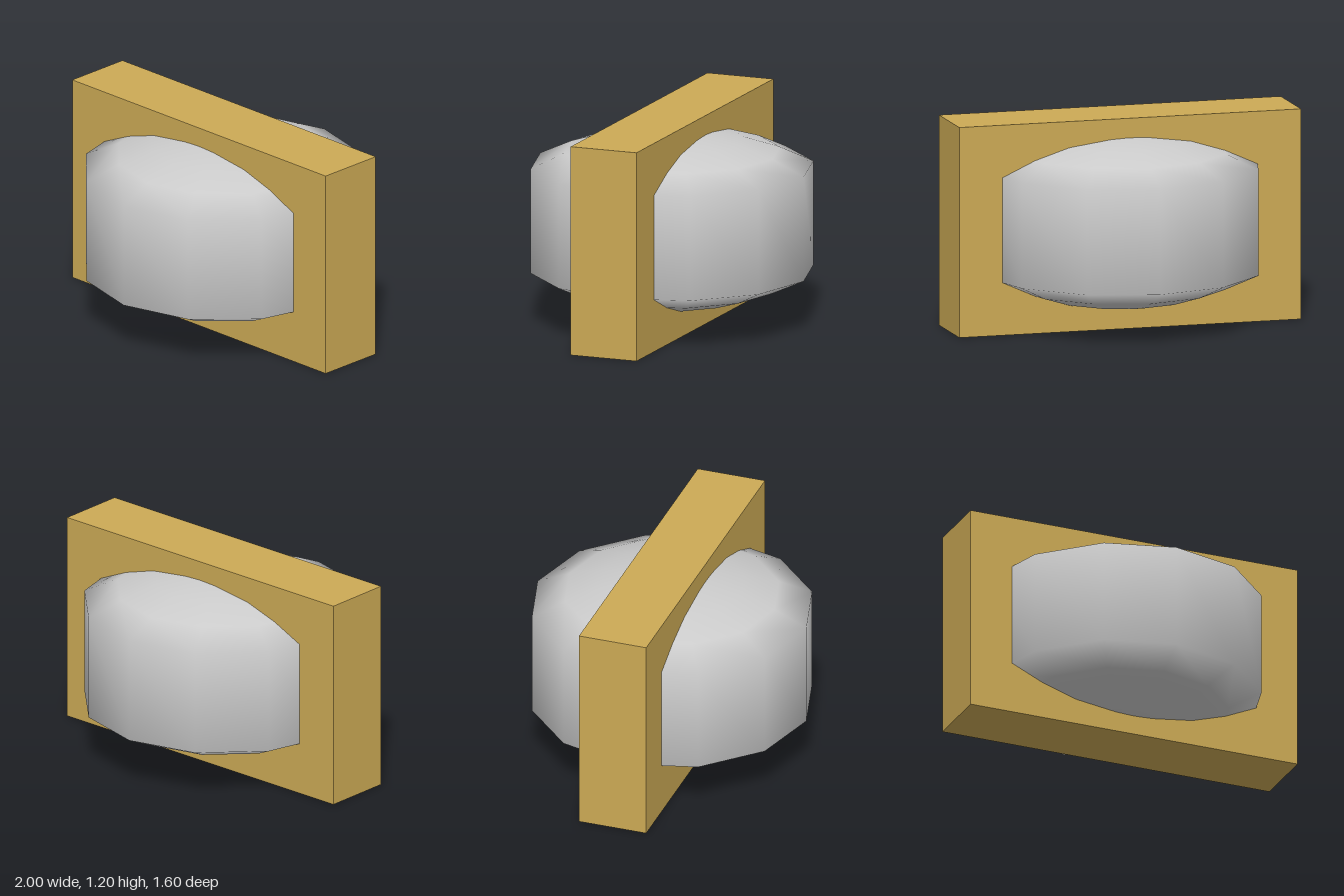
import * as THREE from 'three';

export function createModel() {
  const model = new THREE.Group();

  // Twelve-sided barrel: straight wall closed by shallow spherical caps
  const wallRadius = 0.8, midY = 0.6, halfWall = 0.3, capRise = 0.2, steps = 4;
  const capRadius = (wallRadius ** 2 + capRise ** 2) / (2 * capRise);
  const capAngle = Math.asin(wallRadius / capRadius);
  const capCentre = halfWall + capRise - capRadius;

  const upper = [];
  for (let i = steps; i >= 0; i--) {
    const a = (capAngle * i) / steps;
    upper.push([capRadius * Math.sin(a), capCentre + capRadius * Math.cos(a)]);
  }
  const lower = upper.map(([r, h]) => [r, -h]).reverse();
  const profile = [...lower, ...upper].map(([r, h]) => new THREE.Vector2(r, midY + h));

  const barrel = new THREE.Mesh(
    new THREE.LatheGeometry(profile, 12),
    new THREE.MeshStandardMaterial({ color: 0xcccccc })
  );
  barrel.name = 'domedBarrel';
  model.add(barrel);

  // Upright slab crossing the barrel
  const slab = new THREE.Mesh(
    new THREE.BoxGeometry(2, 1.2, 0.4),
    new THREE.MeshStandardMaterial({ color: 0xccaa55 })
  );
  slab.name = 'slab';
  slab.position.y = midY;
  model.add(slab);

  return model;
}
